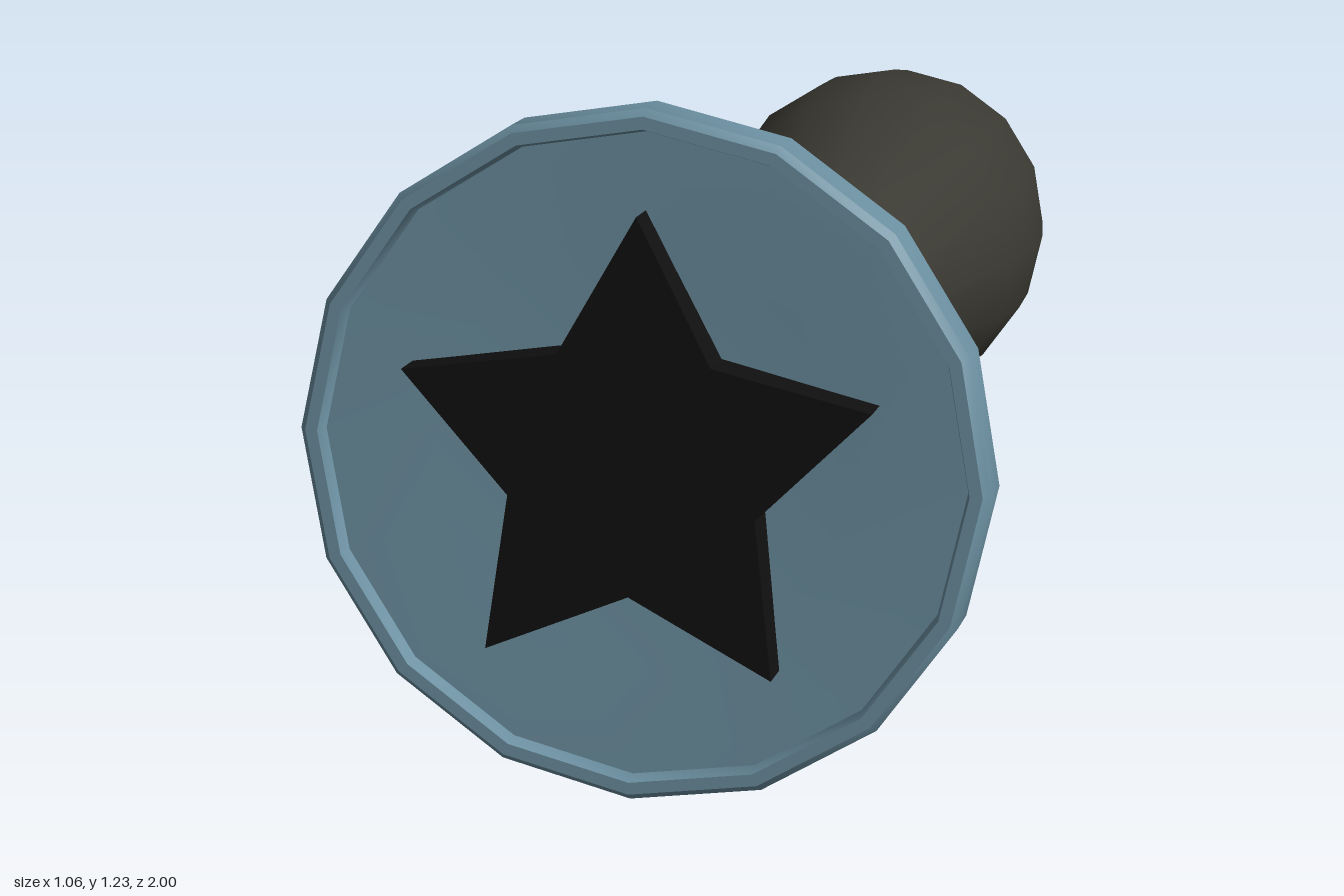
import * as THREE from 'three';
import { toCreasedNormals } from 'three/addons/utils/BufferGeometryUtils.js';

const SIDES = 16;
const paint = (color) => new THREE.MeshStandardMaterial({ color });

// Turned part along +z from [radius, distance] pairs
function turned(name, profile, material, crease = 0.65) {
  const points = profile.map(([r, t]) => new THREE.Vector2(r, t));
  const geometry = new THREE.LatheGeometry(points, SIDES).rotateX(Math.PI / 2);
  const mesh = new THREE.Mesh(toCreasedNormals(geometry, crease), material);
  mesh.name = name;
  return mesh;
}

function starShape(outer, inner) {
  const shape = new THREE.Shape();
  for (let i = 0; i < 10; i++) {
    const a = Math.PI / 2 + (i * Math.PI) / 5;
    const r = i % 2 ? inner : outer;
    if (i) shape.lineTo(r * Math.cos(a), r * Math.sin(a));
    else shape.moveTo(r * Math.cos(a), r * Math.sin(a));
  }
  shape.closePath();
  return shape;
}

export function createModel() {
  const model = new THREE.Group();
  model.name = 'handStamp';
  const wood = paint(0x3a3932);
  const blue = paint(0x6b8fa0);
  const black = paint(0x101010);

  // Everything is built along +z, starting at the butt of the handle
  const stamp = new THREE.Group();
  stamp.name = 'stamp';

  // Rear grip, widest near the butt
  stamp.add(turned('rearGrip', [
    [0.238, 0], [0.265, 0.1], [0.286, 0.22], [0.29, 0.33], [0.276, 0.46], [0.128, 1.06],
  ], wood));

  // Flat butt of the handle
  const butt = new THREE.Mesh(new THREE.CircleGeometry(0.238, SIDES).rotateX(Math.PI), black);
  butt.name = 'buttCap';
  stamp.add(butt);

  // Front grip bulge
  stamp.add(turned('frontGrip', [
    [0.128, 1.06], [0.17, 1.19], [0.2, 1.29], [0.201, 1.37], [0.174, 1.46], [0.123, 1.57],
  ], wood));

  // Collar bead behind the plate
  stamp.add(turned('collar', [
    [0.118, 1.55], [0.145, 1.575], [0.176, 1.61], [0.182, 1.64], [0.172, 1.68], [0.125, 1.72], [0.11, 1.75],
  ], wood, 0.9));

  // Round plate with a coned back, bevelled rim and shallow recess in front
  stamp.add(turned('plate', [
    [0, 1.725], [0.12, 1.735], [0.3, 1.76], [0.478, 1.785], [0.49, 1.787], [0.5, 1.797],
    [0.5, 1.856], [0.49, 1.867], [0.472, 1.867], [0.466, 1.845], [0.3, 1.84], [0, 1.82],
  ], blue));

  // Raised star on the plate
  const star = new THREE.Mesh(
    new THREE.ExtrudeGeometry(starShape(0.355, 0.188), { depth: 0.1, bevelEnabled: false }),
    black,
  );
  star.name = 'star';
  star.position.z = 1.79;
  stamp.add(star);

  // Tilt the stamp so the plate faces forward and up
  stamp.position.set(0.29, 0.23, -0.93);
  stamp.lookAt(new THREE.Vector3(-0.176, 0.283, 0.943).add(stamp.position));
  stamp.rotateZ(THREE.MathUtils.degToRad(3));
  model.add(stamp);
  return model;
}
